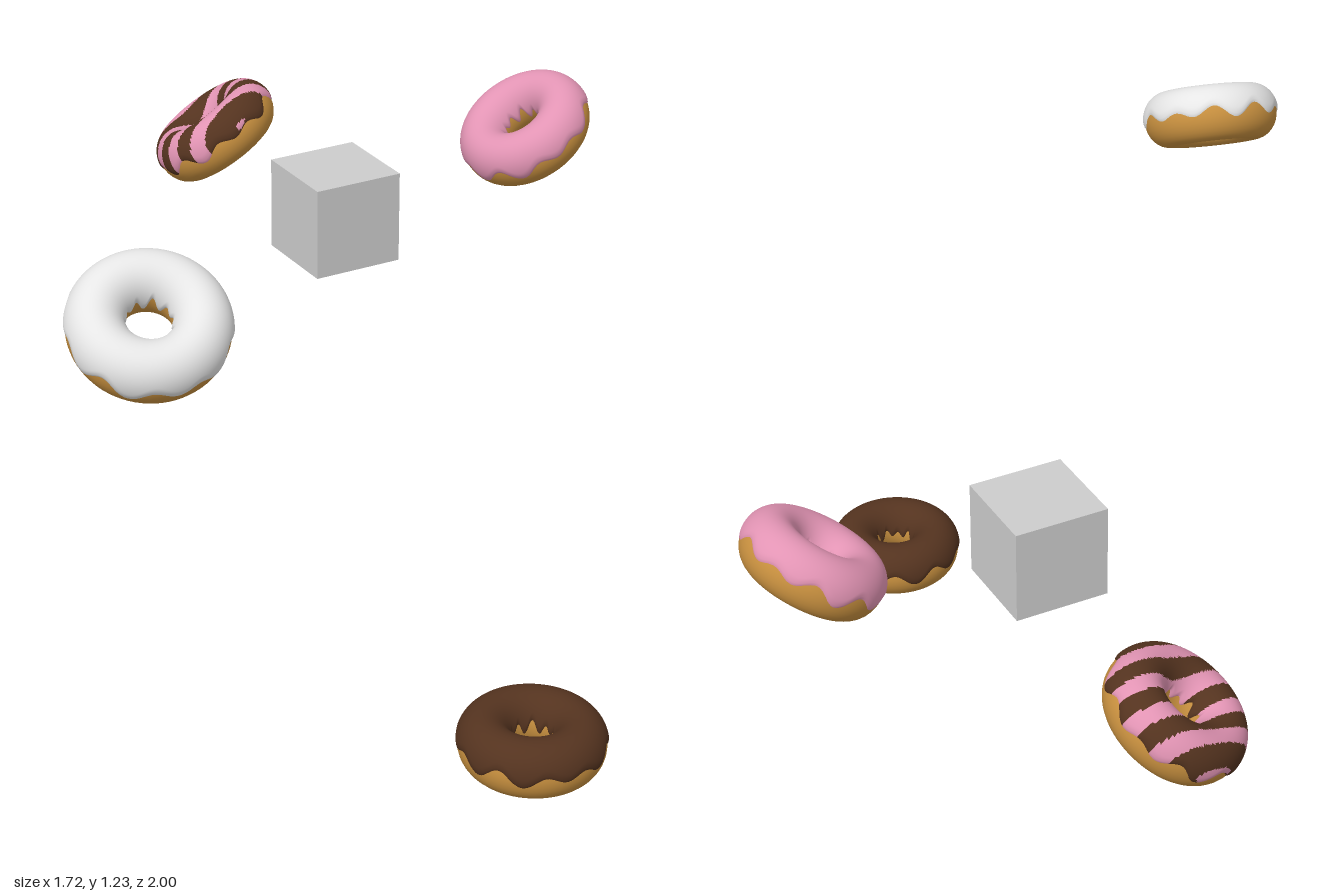
import * as THREE from 'three';

const RING = 0.099; // radius of the ring's centre line

function material(name, color) {
  const m = new THREE.MeshStandardMaterial({ color });
  m.name = name;
  return m;
}

// Icing shell over the top of the ring, with wavy inner and outer edges.
// pick(x, z) gives the material index of each small cell.
function icingGeometry(pick) {
  const N = 160, M = 48;
  const pos = [], buckets = [[], []];
  const wave = (u, p) => 0.17 * Math.sin(10 * u + p) + 0.09 * Math.sin(7 * u + 2 * p + 1);
  for (let i = 0; i < N; i++) {
    const u = (i / N) * Math.PI * 2;
    const start = -0.02 + wave(u, 0.6), end = Math.PI - 0.05 + wave(u, 2.1);
    for (let j = 0; j <= M; j++) {
      const a = start + (end - start) * (j / M);
      const edge = Math.min(j, M - j) / 4;
      const lift = -0.001 + 0.005 * Math.sqrt(Math.min(1, edge)); // rounded rim
      const r = RING + (0.054 + lift) * Math.cos(a);
      pos.push(r * Math.cos(u), (0.062 + lift) * Math.sin(a), r * Math.sin(u));
    }
  }
  for (let i = 0; i < N; i++) {
    for (let j = 0; j < M; j++) {
      const a = i * (M + 1) + j, c = ((i + 1) % N) * (M + 1) + j;
      const b = a + 1, d = c + 1;
      const x = (pos[3 * a] + pos[3 * d]) / 2, z = (pos[3 * a + 2] + pos[3 * d + 2]) / 2;
      buckets[pick(x, z)].push(a, b, c, b, d, c);
    }
  }
  const g = new THREE.BufferGeometry();
  g.setAttribute('position', new THREE.Float32BufferAttribute(pos, 3));
  g.setIndex([...buckets[0], ...buckets[1]]);
  g.addGroup(0, buckets[0].length, 0);
  g.addGroup(buckets[0].length, buckets[1].length, 1);
  g.computeVertexNormals();
  return g;
}

export function createModel() {
  const model = new THREE.Group();
  const dough = material('dough', 0xc8903f);
  const chocolate = material('chocolate', 0x54331f);
  const pink = material('pink icing', 0xe294b4);
  const white = material('white icing', 0xe6e6e6);
  const grey = material('grey', 0xcccccc);

  // Shared shapes
  const doughShape = new THREE.TorusGeometry(RING, 0.054, 32, 72);
  doughShape.rotateX(Math.PI / 2);
  doughShape.scale(1, 0.062 / 0.054, 1);
  const plainIcing = icingGeometry(() => 0);
  const stripedIcing = icingGeometry((x, z) => {
    const t = (z + 0.147 * x - 0.036) / 0.068;
    return Math.abs(t - Math.round(t)) < 0.24 ? 1 : 0;
  });

  // Four doughnuts: centre, direction the icing faces, icing colours
  const up = new THREE.Vector3(0, 1, 0);
  const doughnuts = [
    ['chocolateDoughnut', [0.06, 0.063, 0.843], [0, 1, 0], plainIcing, [chocolate, chocolate]],
    ['pinkDoughnut', [0.715, 0.891, -0.236], [-0.54, 0.84, 0], plainIcing, [pink, pink]],
    ['whiteDoughnut', [-0.709, 1.117, 0.687], [-0.15, 0.85, 0.5], plainIcing, [white, white]],
    ['stripedDoughnut', [0.24, 0.763, -0.847], [-0.47, 0.82, -0.33], stripedIcing, [chocolate, pink]],
  ];
  for (const [name, centre, facing, icingShape, colours] of doughnuts) {
    const group = new THREE.Group();
    group.name = name;
    const base = new THREE.Mesh(doughShape, dough);
    base.name = 'doughRing';
    const icing = new THREE.Mesh(icingShape, colours);
    icing.name = 'icing';
    group.add(base, icing);
    group.position.set(...centre);
    group.quaternion.setFromUnitVectors(up, new THREE.Vector3(...facing).normalize());
    model.add(group);
  }

  // Plain floating cube
  const cube = new THREE.Mesh(new THREE.BoxGeometry(0.208, 0.208, 0.208), grey);
  cube.name = 'cube';
  cube.position.set(0.219, 0.793, -0.243);
  model.add(cube);

  return model;
}
